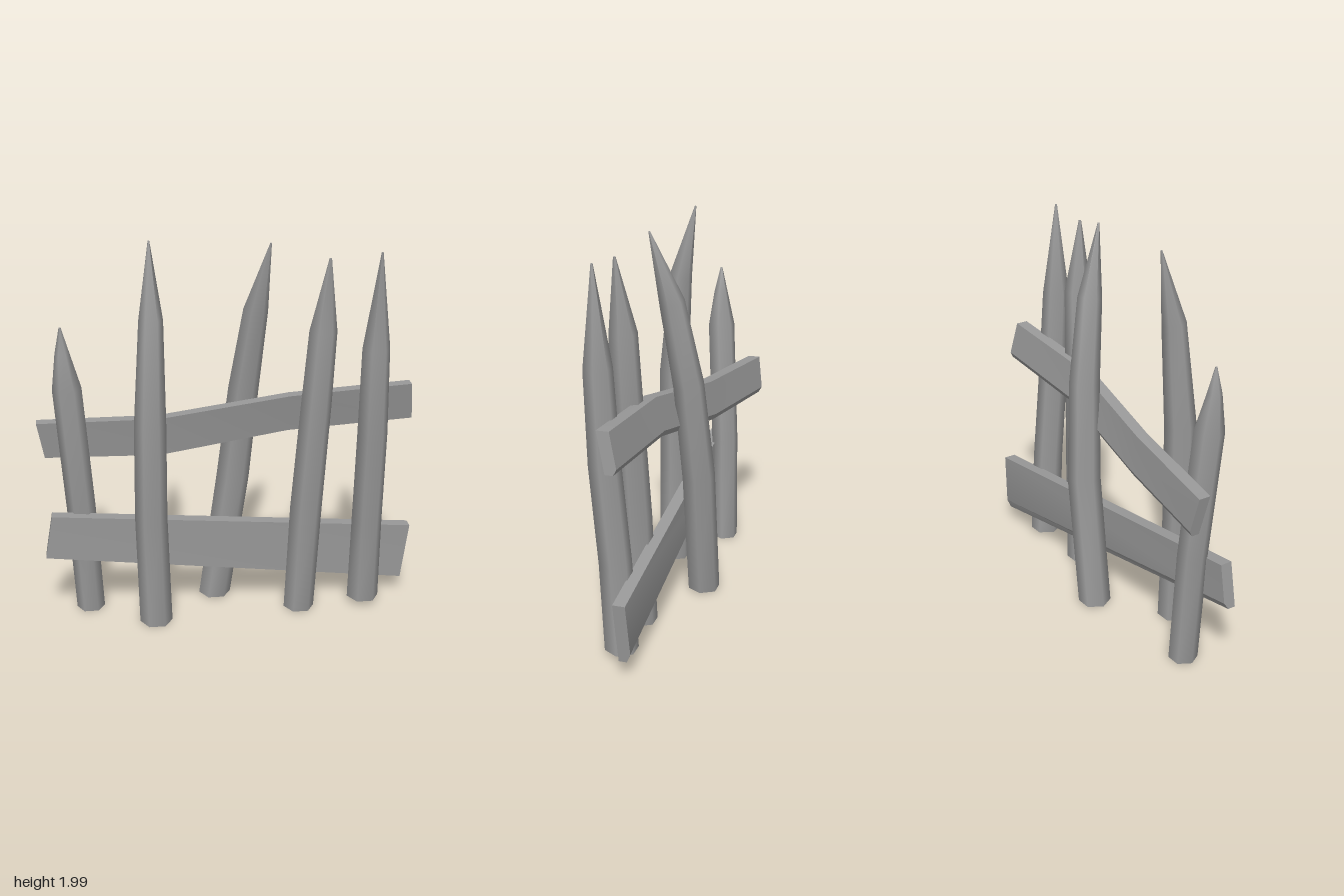
import * as THREE from 'three';
import { toCreasedNormals } from 'three/addons/utils/BufferGeometryUtils.js';

// Skin a list of equal-length cross-sections (loops run counter-clockwise about the travel direction)
function loft(sections, crease) {
  const n = sections[0].length, index = [];
  const last = (sections.length - 1) * n;
  for (let s = 0; s < sections.length - 1; s++) {
    for (let i = 0; i < n; i++) {
      const a = s * n + i, b = s * n + (i + 1) % n;
      index.push(a, b, b + n, a, b + n, a + n);
    }
  }
  for (let i = 1; i < n - 1; i++) {
    index.push(0, i + 1, i, last, last + i, last + i + 1);
  }
  const geo = new THREE.BufferGeometry();
  geo.setAttribute('position', new THREE.Float32BufferAttribute(sections.flat(2), 3));
  geo.setIndex(index);
  return toCreasedNormals(geo, crease);
}

// Six-sided stake; each ring is [x, y, z, radius], tilted to follow the lean
function stakeGeometry(rings) {
  const sections = rings.map(([x, y, z, r], k) => {
    const p = rings[Math.max(k - 1, 0)], q = rings[Math.min(k + 1, rings.length - 1)];
    const tilt = k === 0 ? 0 : 1 / (q[1] - p[1]);
    const sx = (q[0] - p[0]) * tilt, sz = (q[2] - p[2]) * tilt;
    return Array.from({ length: 6 }, (_, i) => {
      const a = -i * Math.PI / 3;
      const ox = r * Math.cos(a), oz = r * Math.sin(a);
      return [x + ox, y - ox * sx - oz * sz, z + oz];
    });
  });
  return loft(sections, 1.15);
}

// Plank running along x; each station is [topX, topY, topZ, bottomX, bottomY, bottomZ]
function railGeometry(stations, thickness) {
  const h = thickness / 2;
  const sections = stations.map(([tx, ty, tz, bx, by, bz]) => {
    const at = (f, dz) => [bx + (tx - bx) * f, by + (ty - by) * f, bz + (tz - bz) * f + dz];
    // lower back edge is chamfered
    return [at(0, h), at(0, -h * 0.3), at(0.15, -h), at(1, -h), at(1, h)];
  });
  return loft(sections, 0.5);
}

export function createModel() {
  const group = new THREE.Group();
  const wood = new THREE.MeshStandardMaterial({ color: 0x999999 });
  wood.name = 'grey wood';

  const add = (name, geometry) => {
    const mesh = new THREE.Mesh(geometry, wood);
    mesh.name = name;
    group.add(mesh);
  };

  // Pointed stakes, from the model's right to its left
  const stakes = [
    [[-0.735, 0.01, -0.065, 0.073], [-0.765, 0.6, -0.05, 0.074], [-0.81, 1.26, -0.01, 0.073],
      [-0.825, 1.45, 0.0, 0.036], [-0.83, 1.58, 0.0, 0.005]],
    [[-0.4, 0.01, 0.135, 0.084], [-0.415, 0.6, 0.14, 0.082], [-0.41, 1.1, 0.14, 0.08],
      [-0.393, 1.63, 0.1, 0.06], [-0.39, 2.0, 0.02, 0.004]],
    [[-0.063, 0.015, -0.135, 0.084], [0.035, 0.7, -0.13, 0.085], [0.085, 1.2, -0.09, 0.078],
      [0.135, 1.63, -0.02, 0.062], [0.193, 1.985, 0.075, 0.004]],
    [[0.365, 0.01, 0.07, 0.08], [0.39, 0.6, 0.09, 0.083], [0.425, 1.15, 0.11, 0.078],
      [0.45, 1.55, 0.12, 0.07], [0.47, 1.92, 0.15, 0.006]],
    [[0.715, 0.04, 0.055, 0.084], [0.716, 0.5, 0.08, 0.08], [0.716, 1.0, 0.125, 0.078],
      [0.711, 1.46, 0.15, 0.07], [0.718, 1.945, 0.165, 0.005]],
  ];
  stakes.forEach((rings, i) => add(`stake${i + 1}`, stakeGeometry(rings)));

  // Crooked cross planks
  add('upperRail', railGeometry([
    [-0.975, 1.035, -0.16, -0.94, 0.835, -0.19],
    [-0.35, 1.075, -0.05, -0.35, 0.865, -0.085],
    [0.3, 1.2, 0.04, 0.3, 1.0, -0.01],
    [0.92, 1.245, 0.055, 0.94, 1.045, 0.01],
  ], 0.062));
  add('lowerRail', railGeometry([
    [-0.915, 0.6, 0.035, -0.955, 0.37, 0.035],
    [0.97, 0.415, -0.025, 0.935, 0.105, -0.04],
  ], 0.062));

  return group;
}
